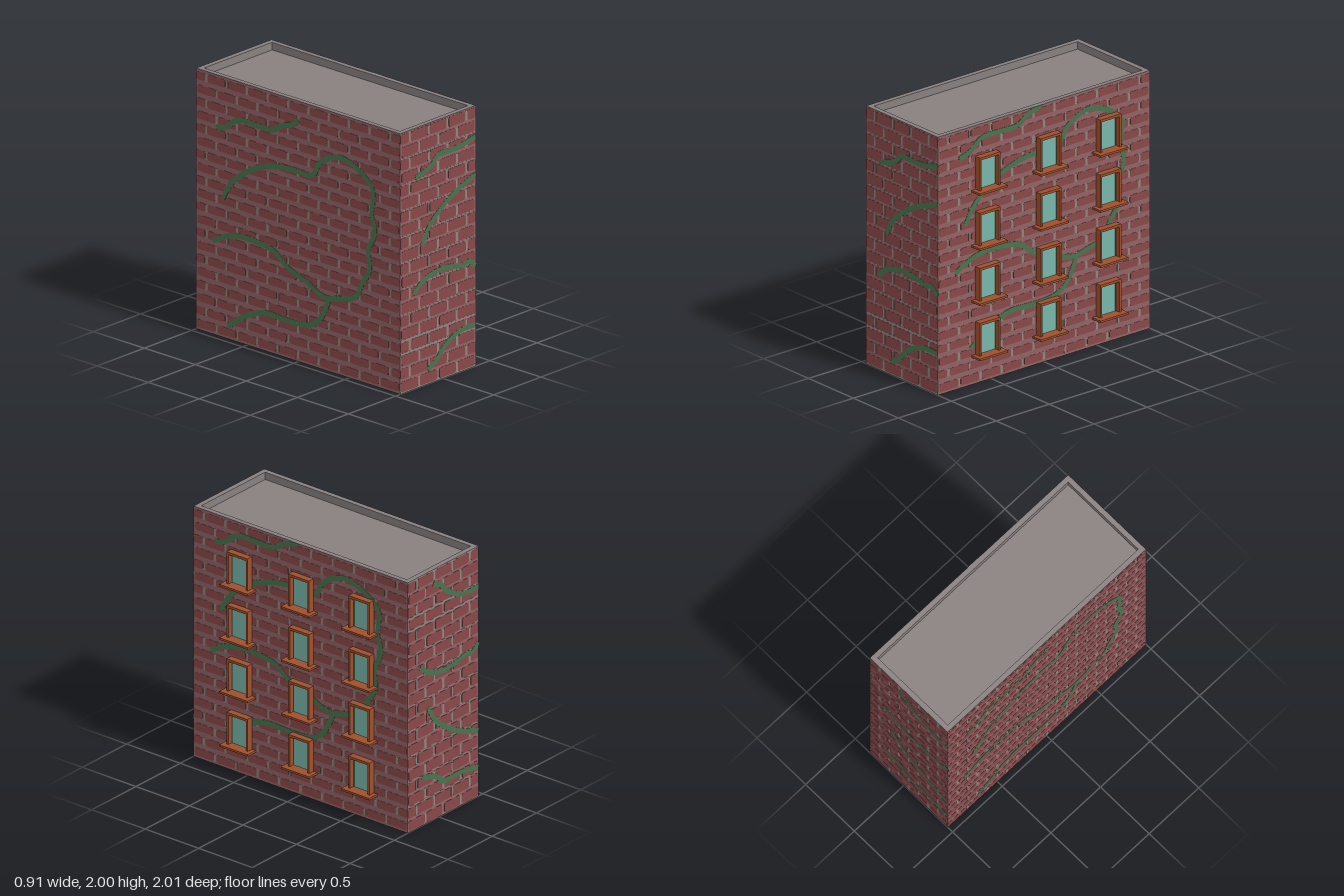
import * as THREE from 'three';
import { mergeGeometries } from 'three/addons/utils/BufferGeometryUtils.js';

const mat = (name, color) => {
  const m = new THREE.MeshStandardMaterial({ color, side: THREE.DoubleSide });
  m.name = name;
  return m;
};

const X0 = -0.45, X1 = 0.35, XC = -0.05, H = 2;

// Vine paths as [u, y], u measured from the middle of the wall
const longVines = [
  [[-0.8, 1.78], [-0.7, 1.81], [-0.59, 1.89], [-0.4, 1.895], [-0.25, 1.9], [-0.15, 1.96], [-0.04, 1.995], [0, 2.04]],
  [[-0.74, 1.25], [-0.67, 1.37], [-0.55, 1.48], [-0.4, 1.57], [-0.25, 1.62], [-0.05, 1.645], [0.14, 1.65],
    [0.21, 1.76], [0.3, 1.82], [0.42, 1.855], [0.53, 1.83], [0.65, 1.77], [0.73, 1.69], [0.73, 1.58],
    [0.72, 1.5], [0.75, 1.4], [0.74, 1.32], [0.69, 1.22], [0.70, 1.06], [0.62, 0.93], [0.59, 0.85],
    [0.52, 0.8], [0.4, 0.77], [0.3, 0.745], [0.2, 0.76], [0.1, 0.81], [-0.1, 0.88], [-0.24, 0.975],
    [-0.4, 1.0], [-0.58, 1.0], [-0.7, 0.97], [-0.84, 0.9]],
  [[0.31, 0.75], [0.28, 0.68], [0.22, 0.57], [0.15, 0.51], [0.05, 0.48], [-0.15, 0.475], [-0.3, 0.48],
    [-0.42, 0.45], [-0.55, 0.38], [-0.69, 0.28]],
];
const shortVines = [
  [[-0.24, 1.615], [-0.15, 1.64], [-0.07, 1.67], [0, 1.73], [0.15, 1.73], [0.27, 1.74], [0.4, 1.765]],
  [[-0.17, 1.08], [-0.1, 1.2], [0.03, 1.31], [0.2, 1.405], [0.4, 1.475]],
  [[-0.26, 0.73], [-0.17, 0.8], [-0.03, 0.84], [0.15, 0.835], [0.27, 0.81], [0.32, 0.825], [0.4, 0.77]],
  [[-0.11, 0.11], [-0.02, 0.16], [0.05, 0.23], [0.15, 0.29], [0.25, 0.32], [0.4, 0.32]],
];
const mapY = (vines, f) => vines.map((v) => v.map(([u, y]) => [u, f(y)]));

// Thin plate centred on the wall plane, seen from both sides
function slab(points, depth) {
  const shape = new THREE.Shape(points.map(([x, y]) => new THREE.Vector2(x, y)));
  return new THREE.ExtrudeGeometry(shape, { depth, bevelEnabled: false }).translate(0, 0, -depth / 2);
}

// Brick face with clipped corners
function brickGeometry(a, b, y, h) {
  const c = 0.012, t = h / 2;
  return slab([[a + c, y - t], [b - c, y - t], [b, y - t + c], [b, y + t - c],
    [b - c, y + t], [a + c, y + t], [a, y + t - c], [a, y - t + c]], 0.003);
}

// Flat ribbon following a path, cut off at the wall top
function vineGeometry(path) {
  const curve = new THREE.CatmullRomCurve3(path.map(([u, y]) => new THREE.Vector3(u, y, 0)), false, 'centripetal');
  const n = path.length * 4, w = 0.021, left = [], right = [];
  for (let i = 0; i <= n; i++) {
    const p = curve.getPoint(i / n), t = curve.getTangent(i / n);
    left.push([p.x - t.y * w, Math.min(H, p.y + t.x * w)]);
    right.unshift([p.x + t.y * w, Math.min(H, p.y - t.x * w)]);
  }
  return slab([...left, ...right], 0.005);
}

const bar = (x0, x1, y, h) => new THREE.BoxGeometry(x1 - x0, h, 0.002).translate((x0 + x1) / 2, y, 0);

export function createModel() {
  const model = new THREE.Group();
  model.name = 'brickBuilding';
  const brick = mat('brick red', 0x884849);
  const mortar = mat('pale brick', 0x906465);
  const grout = mat('grey grout', 0x8f8681);
  const leaf = mat('vine green', 0x49734f);
  const glass = mat('window glass', 0x78b6ab);
  const wood = mat('frame brown', 0x9f4f2d);
  const stone = mat('roof grey', 0x87807f);

  const add = (parent, name, geo, material, x = 0, y = 0, z = 0) => {
    const m = new THREE.Mesh(geo, material);
    m.name = name;
    m.position.set(x, y, z);
    parent.add(m);
  };

  let seed = 7;
  const rand = () => (seed = (seed * 16807) % 2147483647) / 2147483647;

  // One wall facing +z: backing sheet, running-bond bricks, grout, vines
  function wall(name, width, brickH, vines, bands) {
    const g = new THREE.Group();
    g.name = name;
    add(g, 'wallSheet', new THREE.PlaneGeometry(width, H), mortar, 0, H / 2);
    const bricks = [], chips = [], half = width / 2, rows = 20, rowH = H / rows, len = 0.2;
    for (let r = 0; r < rows; r++) {
      const y = (r + 0.5) * rowH;
      for (let u = -half - (r % 2) * len / 2; u < half - 0.02; u += len) {
        const a = Math.max(-half, u + 0.006 + rand() * 0.01);
        const b = Math.min(half, u + len - 0.006 - rand() * 0.01);
        if (b - a > 0.03) bricks.push(brickGeometry(a, b, y, brickH));
        if (u > -half + 0.02) chips.push(bar(u - 0.009, u + 0.009, y, brickH * 0.95));
      }
    }
    // Wider grey bed joints
    for (const [y, h] of bands) chips.push(bar(-half, half, y, h));
    add(g, 'bricks', mergeGeometries(bricks), brick);
    add(g, 'grout', mergeGeometries(chips), grout);
    add(g, 'vines', mergeGeometries(vines.map(vineGeometry)), leaf);
    model.add(g);
    return g;
  }

  const bands = [[0.01, 0.02], [0.3, 0.018], [0.4, 0.018]];
  for (let y = 0.6; y < 1.95; y += 0.2) bands.push([y, 0.006]);
  wall('frontWall', 0.8, 0.08, shortVines, bands).position.set(XC, 0, 1);
  const back = wall('backWall', 0.8, 0.08, mapY(shortVines, (y) => H - y), bands.map(([y, h]) => [H - y, h]));
  back.position.set(XC, 0, -1);
  back.rotation.y = Math.PI;
  const windowWall = wall('windowWall', 2, 0.062, longVines, []);
  windowWall.position.x = X1;
  windowWall.rotation.y = Math.PI / 2;
  const plainWall = wall('plainWall', 2, 0.062, mapY(longVines, (y) => y - 0.185), []);
  plainWall.position.x = X0;
  plainWall.rotation.y = -Math.PI / 2;

  // Raised parapet around a sunken roof
  const rect = (C, hw, hd) => {
    const s = new C();
    s.moveTo(-hw, -hd).lineTo(hw, -hd).lineTo(hw, hd).lineTo(-hw, hd).closePath();
    return s;
  };
  const rim = rect(THREE.Shape, 0.399, 0.999);
  rim.holes.push(rect(THREE.Path, 0.36, 0.96));
  const rimGeo = new THREE.ExtrudeGeometry(rim, { depth: 0.06, bevelEnabled: false }).rotateX(-Math.PI / 2);
  add(model, 'parapet', rimGeo, stone, XC, H - 0.06, 0);
  add(model, 'roof', new THREE.PlaneGeometry(0.79, 1.99).rotateX(-Math.PI / 2), stone, XC, H - 0.058, 0);

  // Three columns by four storeys of windows
  for (const z of [0.55, -0.025, -0.587]) {
    for (const y of [0.21, 0.637, 1.065, 1.492]) {
      const w = new THREE.Group();
      w.name = 'window';
      w.position.set(X1, y, z);
      add(w, 'sill', new THREE.BoxGeometry(0.094, 0.016, 0.264), wood, 0.047, 0.008);
      add(w, 'lintel', new THREE.BoxGeometry(0.052, 0.02, 0.196), wood, 0.026, 0.261);
      for (const s of [-1, 1]) {
        add(w, 'jamb', new THREE.BoxGeometry(0.052, 0.236, 0.016), wood, 0.026, 0.134, s * 0.09);
        add(w, 'paneEdge', new THREE.BoxGeometry(0.008, 0.236, 0.006), leaf, 0.008, 0.134, s * 0.079);
      }
      add(w, 'glassPane', new THREE.BoxGeometry(0.006, 0.236, 0.164), glass, 0.008, 0.134);
      model.add(w);
    }
  }
  return model;
}
